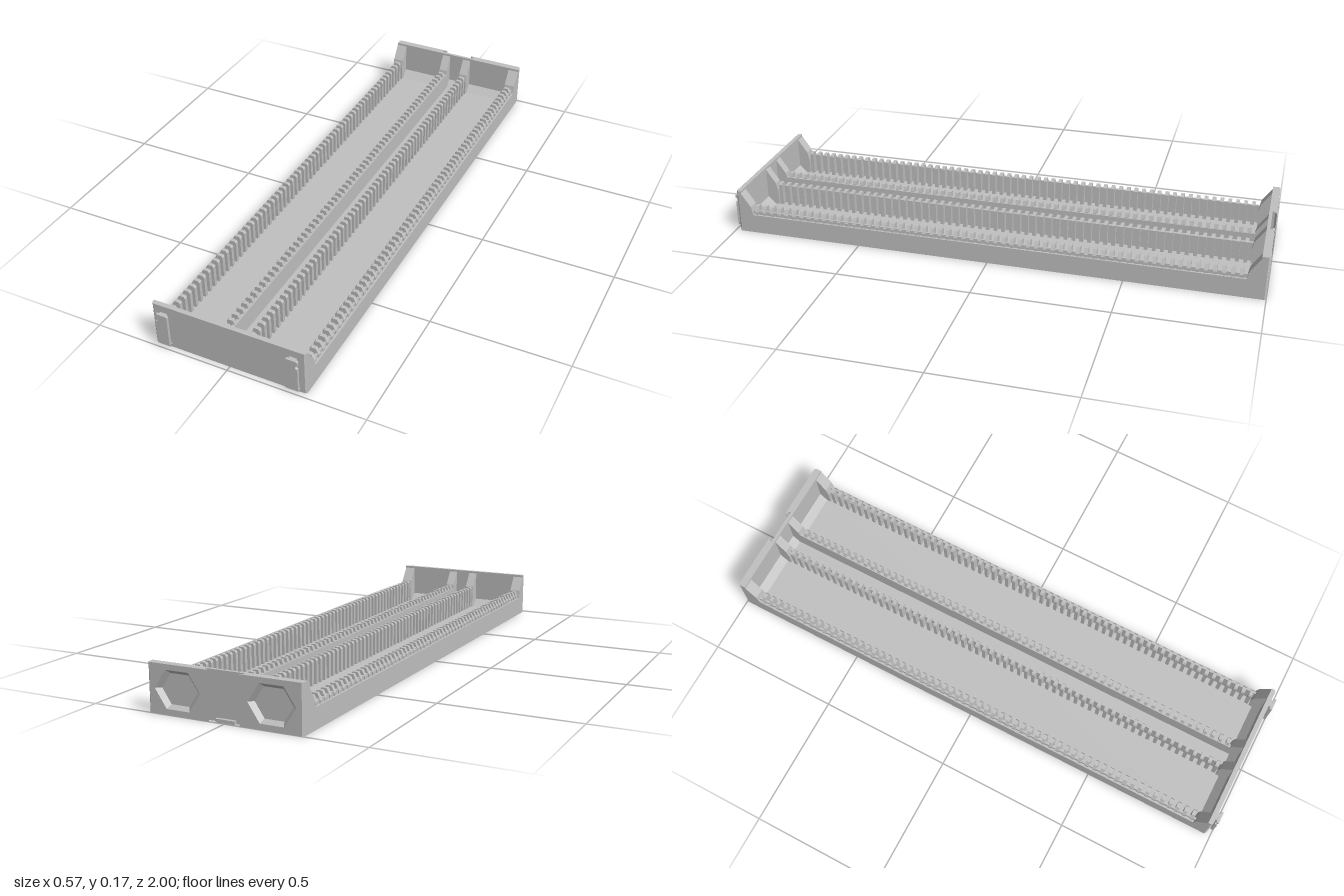
import * as THREE from 'three';
import { mergeGeometries } from 'three/addons/utils/BufferGeometryUtils.js';

const grey = new THREE.MeshStandardMaterial({ color: 0xc0c0c0, side: THREE.DoubleSide, flatShading: true });
grey.name = 'grey plastic';

const shapeOf = (pts) => new THREE.Shape(pts.map(([a, b]) => new THREE.Vector2(a, b)));
const extrude = (shape, depth) => new THREE.ExtrudeGeometry(shape, { depth, bevelEnabled: false, curveSegments: 8 });

// Box given by its limits
function box(x0, x1, y0, y1, z0, z1) {
  return new THREE.BoxGeometry(Math.abs(x1 - x0), y1 - y0, z1 - z0)
    .translate((x0 + x1) / 2, (y0 + y1) / 2, (z0 + z1) / 2);
}
// Prism along z from an (x, y) outline
const prismZ = (pts, z0, z1) => extrude(shapeOf(pts), z1 - z0).translate(0, 0, z0);
// Prism along y from an (x, z) outline
const prismY = (pts, y0, y1) =>
  extrude(shapeOf(pts.map(([x, z]) => [x, -z])), y1 - y0).rotateX(-Math.PI / 2).translate(0, y0, 0);
// Prism along x from a (z, y) outline
const prismX = (pts, x0, x1) =>
  extrude(shapeOf(pts.map(([z, y]) => [-z, y])), x1 - x0).rotateY(Math.PI / 2).translate(x0, 0, 0);

const W = 0.283, H = 0.167, FLOOR = 0.015, TOP = 0.105;

export function createModel() {
  const model = new THREE.Group();
  model.name = 'slottedTray';
  const add = (name, geo, parent = model) => {
    const mesh = new THREE.Mesh(geo, grey);
    mesh.name = name;
    parent.add(mesh);
    return mesh;
  };

  add('floor', box(-W, W, 0, FLOOR, -0.98, 0.97));

  // Front plate with chamfered upright edges
  add('frontPlate', prismY([[-W, 0.965], [W, 0.965], [W, 0.976], [0.277, 0.982], [-0.277, 0.982], [-W, 0.976]], 0, H));
  add('backPlate', box(-W, W, 0, H, -0.984, -0.972));

  // Low ramps where the floor meets the end plates
  add('frontRamp', prismX([[0.967, FLOOR], [0.967, 0.045], [0.935, FLOOR]], -W + 0.01, W - 0.01));
  add('backRamp', prismX([[-0.974, FLOOR], [-0.974, 0.045], [-0.944, FLOOR]], -W + 0.01, W - 0.01));

  for (const s of [1, -1]) {
    const side = s > 0 ? 'left' : 'right';

    // Long walls
    add(side + 'OuterWall', box(s * 0.268, s * W, 0, 0.073, -0.98, 0.97));
    add(side + 'OuterWallLip', box(s * 0.266, s * 0.274, 0.07, 0.088, -0.95, 0.94));
    add(side + 'InnerWall', box(s * 0.03, s * 0.042, FLOOR, 0.088, -0.975, 0.967));

    // Rows of upright ribs that form the slots
    const outerRib = [[0.243, FLOOR], [0.274, FLOOR], [0.277, 0.073], [0.277, 0.083], [0.266, TOP], [0.248, TOP], [0.243, 0.098]];
    const innerRib = [[0.034, FLOOR], [0.062, FLOOR], [0.062, 0.098], [0.057, TOP], [0.039, TOP], [0.034, 0.09]];
    const ribs = [[], []];
    for (let i = 0; i < 61; i++) {
      const z = (i - 30) * 0.0303;
      [outerRib, innerRib].forEach((profile, k) =>
        ribs[k].push(prismZ(profile.map(([x, y]) => [s * x, y]), z - 0.0068, z + 0.0068)));
    }
    add(side + 'OuterRibs', mergeGeometries(ribs[0]));
    add(side + 'InnerRibs', mergeGeometries(ribs[1]));

    // Sloped corner braces at both ends
    for (const [a, b] of [[0.241, W], [0.03, 0.064]]) {
      const x0 = s > 0 ? a : -b, x1 = s > 0 ? b : -a;
      add(side + 'FrontBrace', prismX([[0.968, FLOOR], [0.968, 0.163], [0.928, TOP], [0.921, 0.073], [0.921, FLOOR]], x0, x1));
      add(side + 'BackBrace', prismX([[-0.975, FLOOR], [-0.975, 0.163], [-0.935, TOP], [-0.928, 0.073], [-0.928, FLOOR]], x0, x1));
    }

    // Back panel with a tapered six-sided finger pocket
    const cx = s * 0.172, cy = 0.084;
    const panel = shapeOf([[s * 0.07, 0], [s * 0.277, 0], [s * 0.277, H], [s * 0.07, H]]);
    const hex = [...Array(6)].map((_, i) =>
      new THREE.Vector2(cx + 0.086 * Math.cos(i * Math.PI / 3), cy + 0.074 * Math.sin(i * Math.PI / 3)));
    panel.holes.push(new THREE.Path(hex));
    add(side + 'BackPanel', extrude(panel, 0.016).translate(0, 0, -1));
    add(side + 'BackEdge', prismY([[s * 0.277, -1], [s * W, -0.994], [s * W, -0.984], [s * 0.277, -0.984]], 0, H));
    const pocket = new THREE.CylinderGeometry(0.8, 1, 0.0155, 6, 1, true)
      .rotateY(Math.PI / 6).rotateX(Math.PI / 2);
    pocket.rotateZ(0).scale(0.086, 0.074, 1).translate(cx, cy, -0.9922);
    add(side + 'PocketSlope', pocket);

    // Lip of the centre slot in the back
    add(side + 'SlotLip', prismY([[s * 0.07, -1], [s * 0.056, -1], [s * 0.062, -0.993], [s * 0.07, -0.993]], 0, H));

    // Hook on the front: narrow neck and wide notched head
    const hook = new THREE.Group();
    hook.name = side + 'Hook';
    model.add(hook);
    const hx = s * 0.239;
    add('hookNeck', box(hx - 0.013, hx + 0.013, 0.017, 0.14, 0.98, 0.991), hook);
    const head = new THREE.Shape();
    head.moveTo(-0.022, 0.017);
    head.lineTo(0.022, 0.017);
    head.lineTo(0.022, 0.11);
    head.absarc(0.022, 0.118, 0.008, -Math.PI / 2, Math.PI / 2, true);
    head.lineTo(0.022, 0.139);
    head.lineTo(0.019, 0.142);
    head.lineTo(-0.019, 0.142);
    head.lineTo(-0.022, 0.139);
    const headMesh = add('hookHead', extrude(head, 0.01), hook);
    headMesh.position.set(hx, 0, 0.99);
    if (s < 0) headMesh.rotation.y = Math.PI;
    if (s < 0) headMesh.position.z = 1;
    // Tapered lower tip, leaning back to the plate
    const tip = box(hx - 0.022, hx + 0.022, 0.001, 0.017, 0.98, 1);
    const p = tip.attributes.position;
    for (let i = 0; i < p.count; i++) {
      if (p.getY(i) < 0.01) {
        p.setX(i, hx + (p.getX(i) - hx) * 0.68);
        if (p.getZ(i) > 0.99) p.setZ(i, 0.986);
      }
    }
    tip.computeVertexNormals();
    add('hookTip', tip, hook);
  }

  // Small stop at the foot of the centre slot
  add('slotStop', box(-0.035, 0.035, 0, 0.012, -0.996, -0.984));

  return model;
}
